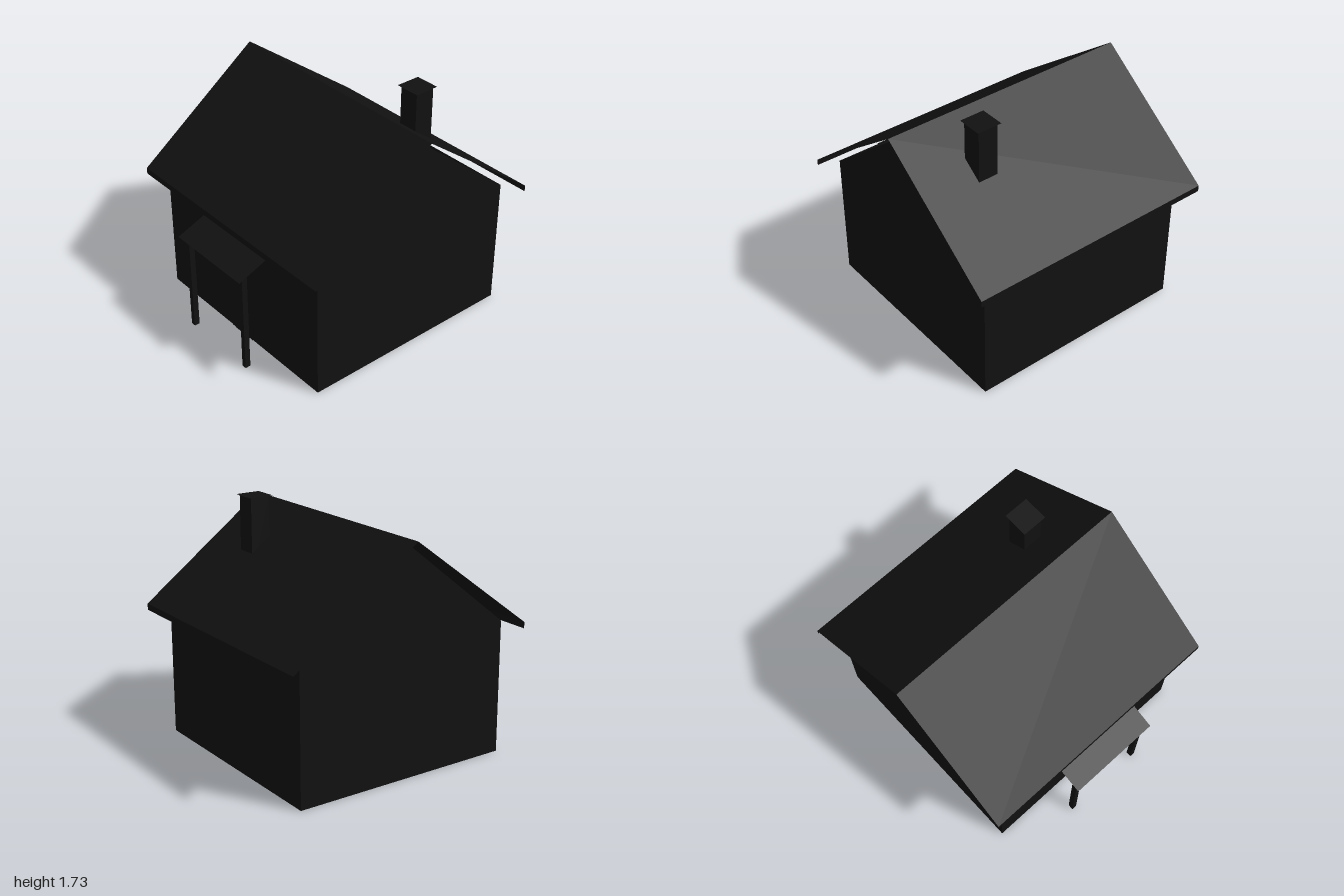
import * as THREE from 'three';

const mat = new THREE.MeshStandardMaterial({ color: 0x111111, side: THREE.DoubleSide, flatShading: true });

export function createModel() {
  const house = new THREE.Group();
  house.name = 'house';

  const add = (name, geometry, x = 0, y = 0, z = 0) => {
    const mesh = new THREE.Mesh(geometry, mat);
    mesh.name = name;
    mesh.position.set(x, y, z);
    house.add(mesh);
    return mesh;
  };
  // Upright sheet facing front (+1) or back (-1)
  const panel = (name, w, h, x, y, z, dir = 1) => {
    const m = add(name, new THREE.PlaneGeometry(w, h), x, y + h / 2, z);
    if (dir < 0) m.rotation.y = Math.PI;
    return m;
  };
  // Sheet of width w spanning two (y, z) edges
  const slope = (name, w, y0, z0, y1, z1) => {
    const m = add(name, new THREE.PlaneGeometry(w, Math.hypot(y1 - y0, z1 - z0)), 0, (y0 + y1) / 2, (z0 + z1) / 2);
    m.rotation.x = Math.atan2(z1 - z0, y1 - y0);
    return m;
  };

  const front = 0.745, back = -0.88, ridge = -0.07, wallTop = 0.945;

  // Walls, open at the bottom
  panel('frontWall', 1.62, wallTop, 0, 0, front);
  panel('backWall', 1.62, wallTop, 0, 0, back, -1);
  for (const side of [1, -1]) {
    const gable = new THREE.Shape([[-front, 0], [-back, 0], [-back, wallTop], [-ridge, 1.595], [-front, wallTop]]
      .map(([a, b]) => new THREE.Vector2(a * side, b)));
    add(side > 0 ? 'leftGable' : 'rightGable', new THREE.ShapeGeometry(gable), 0.81 * side).rotation.y = side * Math.PI / 2;
  }

  // Roof sheets with a narrow board along each eave
  slope('frontRoof', 1.85, 0.945, 0.85, 1.63, -0.075);
  slope('backRoof', 1.85, 0.945, -1, 1.63, -0.075);
  panel('frontEave', 1.85, 0.045, 0, 0.9, 0.85);
  panel('backEave', 1.85, 0.045, 0, 0.9, -1, -1);

  // Chimney with a flat cap
  add('chimney', new THREE.BoxGeometry(0.145, 0.55, 0.145), 0.453, 1.45, -0.395);
  add('chimneyCap', new THREE.PlaneGeometry(0.18, 0.18), 0.453, 1.727, -0.395).rotation.x = -Math.PI / 2;

  // Porch canopy and posts
  slope('porchCanopy', 0.68, 0.74, 1, 0.84, front);
  for (const side of [1, -1]) {
    add('porchPost', new THREE.BoxGeometry(0.035, 0.74, 0.04), 0.295 * side, 0.37, 0.94);
  }

  // Door
  panel('doorFrame', 0.23, 0.69, 0, 0, front + 0.003);
  panel('door', 0.16, 0.66, 0, 0, front + 0.006);

  // Windows with a sill strip
  const windowAt = (x, w, z, dir) => {
    panel('window', w - 0.03, 0.4, x, 0.26, z + 0.003 * dir, dir);
    panel('windowSill', w, 0.025, x, 0.24, z + 0.006 * dir, dir);
  };
  for (const x of [-0.61, 0.61]) windowAt(x, 0.27, front, 1);
  for (const x of [-0.2, 0.2]) windowAt(x, 0.15, front, 1);
  for (const x of [-0.51, 0, 0.51]) windowAt(x, 0.28, back, -1);

  return house;
}
